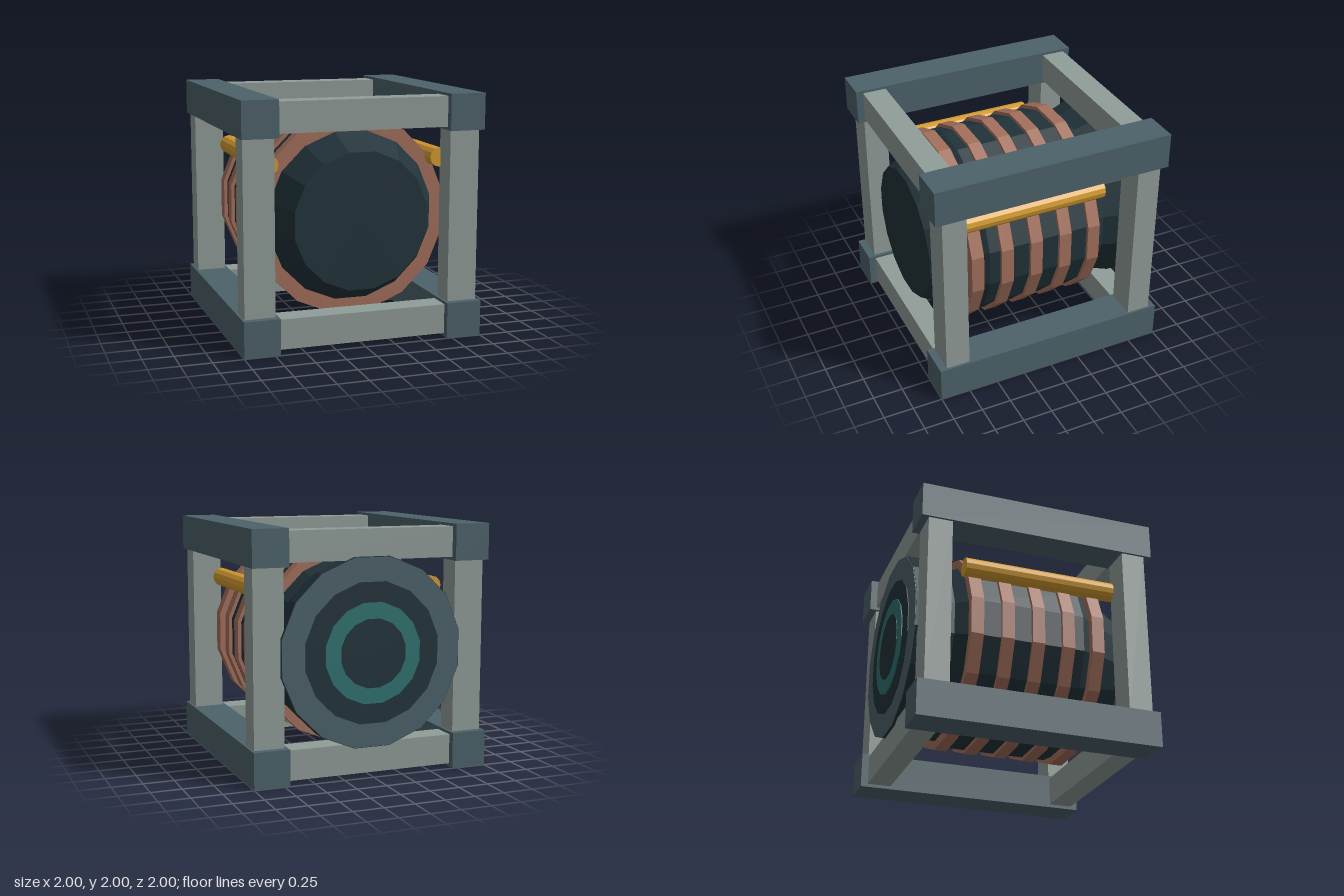
import * as THREE from 'three';

const SIDES = 16;

export function createModel() {
  const group = new THREE.Group();
  const mat = (name, color) => {
    const m = new THREE.MeshStandardMaterial({ color });
    m.name = name;
    return m;
  };
  const slate = mat('slate frame', 0x4d626b);
  const grey = mat('pale grey strut', 0x919d99);
  const dark = mat('dark hull', 0x21333a);
  const copper = mat('copper', 0xa4705d);
  const gold = mat('gold', 0xd59c32);
  const teal = mat('teal', 0x307371);

  // Adds a faceted mesh
  const add = (name, geometry, material, x = 0, y = 0, z = 0) => {
    const faceted = geometry.index ? geometry.toNonIndexed() : geometry;
    faceted.computeVertexNormals();
    const mesh = new THREE.Mesh(faceted, material);
    mesh.name = name;
    mesh.position.set(x, y, z);
    group.add(mesh);
    return mesh;
  };
  const box = (name, w, h, d, material, x, y, z) =>
    add(name, new THREE.BoxGeometry(w, h, d), material, x, y, z);

  // Turned part around the z axis with flats at top and sides; profile is [radius, z], z rising
  const turned = (name, profile, material) => {
    const points = profile.map(([r, z]) => new THREE.Vector2(r, z));
    const g = new THREE.LatheGeometry(points, SIDES, Math.PI / SIDES);
    g.rotateX(Math.PI / 2);
    return add(name, g, material, 0, 1, 0);
  };

  // Frame: long side rails, cross beams and corner posts
  for (const sx of [-1, 1]) {
    for (const y of [0.1475, 1.8525]) {
      box('sideRail', 0.295, 0.295, 2, slate, sx * 0.8525, y, 0);
    }
    for (const sz of [-1, 1]) {
      box('cornerPost', 0.25, 1.42, 0.2, grey, sx * 0.855, 1, sz * 0.84);
    }
  }
  for (const sz of [-1, 1]) {
    for (const y of [0.15, 1.855]) {
      box('crossBeam', 1.44, 0.245, 0.2, grey, 0, y, sz * 0.84);
    }
  }

  // Barrel hull: flared back, narrow waist, tapered nose
  turned('barrelHull', [
    [0, -0.96], [0.775, -0.96], [0.775, -0.84], [0.7, -0.62],
    [0.79, -0.42], [0.79, 0.46], [0.565, 0.89], [0, 0.89],
  ], dark);

  // Copper coil rings
  for (let i = 0; i < 5; i++) {
    const z = 0.575 - i * 0.26;
    const a = z - 0.053, b = z + 0.053;
    turned('coilRing', [[0.65, a], [0.82, a], [0.82, b], [0.65, b], [0.65, a]], copper);
  }

  // Stacked plates on the back end
  const plates = [
    ['backRim', 0.77, -0.966, slate],
    ['backPanel', 0.575, -0.974, dark],
    ['glowRing', 0.41, -0.983, teal],
    ['backHub', 0.28, -0.989, dark],
  ];
  for (const [name, r, z, material] of plates) {
    turned(name, [[0, z], [r, z], [r, z + 0.009], [0, z + 0.009]], material);
  }

  // Gold pipes along both upper sides
  for (const sx of [-1, 1]) {
    const g = new THREE.CylinderGeometry(0.079, 0.079, 1.31, 12);
    g.rotateX(Math.PI / 2);
    add('sidePipe', g, gold, sx * 0.72, 1.462, 0.095);
  }

  return group;
}
